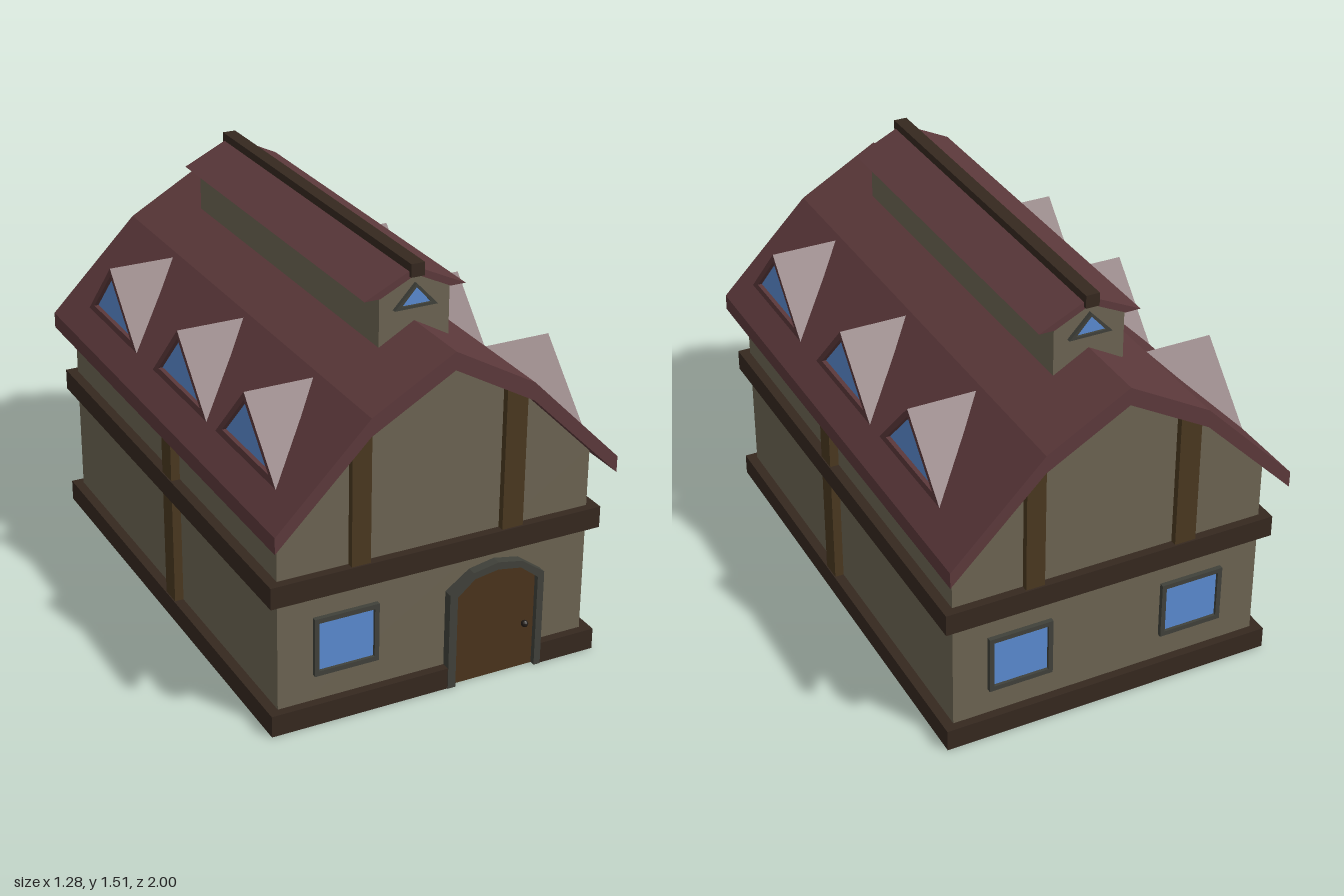
import * as THREE from 'three';

const mat = (color) => new THREE.MeshStandardMaterial({ color, flatShading: true, side: THREE.DoubleSide });

export function createModel() {
  const house = new THREE.Group();
  house.name = 'house';
  const wall = mat(0x6c6452), roof = mat(0x5c393b), beam = mat(0x35281f), post = mat(0x4a3820);
  const doorWood = mat(0x4a331c), stone = mat(0x40413a), glass = mat(0x5a8ad0), iron = mat(0x221c18);

  const add = (name, geometry, material, parent = house) => {
    const mesh = new THREE.Mesh(geometry, material);
    mesh.name = name;
    parent.add(mesh);
    return mesh;
  };
  // Box given by its minimum and maximum on each axis
  const box = (name, x0, x1, y0, y1, z0, z1, material, parent) => {
    const mesh = add(name, new THREE.BoxGeometry(x1 - x0, y1 - y0, z1 - z0), material, parent);
    mesh.position.set((x0 + x1) / 2, (y0 + y1) / 2, (z0 + z1) / 2);
    return mesh;
  };
  // Polygon in the xy plane, optionally with a hole, extruded from z0 to z1
  const prism = (name, points, z0, z1, material, parent, hole) => {
    const toVectors = (list) => list.map(([x, y]) => new THREE.Vector2(x, y));
    const shape = new THREE.Shape(toVectors(points));
    if (hole) shape.holes.push(new THREE.Path(toVectors(hole)));
    const geometry = new THREE.ExtrudeGeometry(shape, { depth: z1 - z0, bevelEnabled: false });
    geometry.translate(0, 0, z0);
    return add(name, geometry, material, parent);
  };
  const rect = (x0, x1, y0, y1) => [[x0, y0], [x1, y0], [x1, y1], [x0, y1]];
  const triangle = (half, y0, y1) => [[-half, y0], [half, y0], [0, y1]];
  const group = (name) => {
    const g = new THREE.Group();
    g.name = name;
    house.add(g);
    return g;
  };

  // Barn-shaped body and the gambrel roof over it
  prism('walls', [[-0.59, 0.01], [0.59, 0.01], [0.59, 0.79], [0.3, 1.08], [0, 1.25], [-0.3, 1.08], [-0.59, 0.79]],
    -0.905, 0.905, wall);
  prism('roof', [[-0.64, 0.79], [-0.3, 1.135], [0, 1.305], [0.3, 1.135], [0.64, 0.79],
    [0.64, 0.73], [0.3, 1.07], [0, 1.24], [-0.3, 1.07], [-0.64, 0.73]], -1, 1, roof);

  // Horizontal timber bands; the lower one is interrupted by the door
  for (const [name, y0, y1] of [['baseBeam', 0, 0.08], ['middleBeam', 0.49, 0.57]]) {
    for (const s of [-1, 1]) {
      const x = s * 0.6075;
      box(name + 'Side', x - 0.0195, x + 0.0195, y0, y1, -0.937, 0.937, beam);
    }
    box(name + 'Back', -0.59, 0.59, y0, y1, -0.937, -0.895, beam);
    const spans = y0 === 0 ? [[-0.59, 0.05], [0.4, 0.59]] : [[-0.59, 0.59]];
    for (const [x0, x1] of spans) box(name + 'Front', x0, x1, y0, y1, 0.895, 0.937, beam);
  }

  // Upright posts on the gables (tops follow the roof) and on the long sides
  const under = (x) => Math.abs(x) < 0.3 ? 1.245 - Math.abs(x) * 0.567 : 1.375 - Math.abs(x);
  for (const s of [-1, 1]) {
    for (const [x0, x1, kink] of [[-0.33, -0.26, -0.3], [0.24, 0.32, 0.3]]) {
      const p = prism('gablePost', [[x0, 0.53], [x1, 0.53], [x1, under(x1)], [kink, under(kink)], [x0, under(x0)]],
        0.895, 0.93, post);
      if (s < 0) p.rotation.y = Math.PI;
    }
    box('sidePost', s * 0.605 - 0.018, s * 0.605 + 0.018, 0.04, 0.765, 0.03, 0.11, post);
  }

  // Square windows: one in front, two behind
  const addWindow = (name, x0, back) => {
    const g = group(name);
    prism('windowFrame', rect(x0, x0 + 0.24, 0.18, 0.4), 0.895, 0.922, stone, g,
      rect(x0 + 0.017, x0 + 0.223, 0.198, 0.382));
    box('windowGlass', x0 + 0.01, x0 + 0.23, 0.19, 0.39, 0.895, 0.911, glass, g);
    if (back) g.rotation.y = Math.PI;
  };
  addWindow('frontWindow', -0.46, false);
  addWindow('backWindow', -0.46, true);
  addWindow('backWindow', 0.205, true);

  // Arched door with a stone surround and a knob
  const door = group('door');
  const inner = [[0.07, 0], [0.07, 0.355], [0.135, 0.41], [0.225, 0.425], [0.315, 0.41], [0.385, 0.355], [0.385, 0]];
  const outer = [[0.41, 0], [0.41, 0.37], [0.32, 0.435], [0.225, 0.453], [0.13, 0.435], [0.04, 0.37], [0.04, 0]];
  prism('doorSurround', [...inner, ...outer], 0.895, 0.94, stone, door);
  prism('doorPanel', inner, 0.895, 0.92, doorWood, door);
  const knob = add('doorKnob', new THREE.SphereGeometry(0.013, 10, 8), iron, door);
  knob.position.set(0.345, 0.175, 0.932);

  // Long raised ridge lantern with its own roof and end windows
  const lantern = group('ridgeLantern');
  prism('lanternWalls', [[-0.13, 1.12], [0.13, 1.12], [0.13, 1.41], [0, 1.475], [-0.13, 1.41]], -0.72, 0.72, wall, lantern);
  prism('lanternRoof', [[-0.187, 1.405], [0, 1.495], [0.187, 1.405], [0.13, 1.405], [0, 1.468], [-0.13, 1.405]],
    -0.727, 0.727, roof, lantern);
  box('ridgeBeam', -0.025, 0.025, 1.465, 1.512, -0.74, 0.74, beam, lantern);
  for (const s of [-1, 1]) {
    const w = new THREE.Group();
    w.name = 'lanternWindow';
    prism('lanternWindowFrame', triangle(0.08, 1.355, 1.44), 0.715, 0.735, stone, w, triangle(0.055, 1.365, 1.427));
    prism('lanternWindowGlass', triangle(0.06, 1.362, 1.43), 0.715, 0.727, glass, w);
    if (s < 0) w.rotation.y = Math.PI;
    lantern.add(w);
  }

  // Triangular dormers, built facing +z and turned to each side
  const sides = new THREE.BufferGeometry();
  const L = [-0.237, 0.875, 0.565], R = [0.237, 0.875, 0.565], T = [0, 1.12, 0.565], B = [0, 1.12, 0.31];
  sides.setAttribute('position', new THREE.Float32BufferAttribute([L, T, B, T, R, B, R, L, B].flat(), 3));
  sides.computeVertexNormals();
  for (const [s, centres] of [[1, [0.65, 0.025, -0.53]], [-1, [0.615, 0.065, -0.565]]]) {
    for (const z of centres) {
      const dormer = group('dormer');
      add('dormerRoof', sides, roof, dormer);
      prism('dormerFrame', triangle(0.237, 0.875, 1.12), 0.564, 0.566, roof, dormer, triangle(0.182, 0.903, 1.09));
      // Reveal around the recessed pane
      prism('dormerReveal', triangle(0.19, 0.9, 1.095), 0.545, 0.564, roof, dormer, triangle(0.182, 0.903, 1.09));
      prism('dormerGlass', triangle(0.182, 0.903, 1.09), 0.54, 0.55, glass, dormer);
      dormer.rotation.y = s * Math.PI / 2;
      dormer.position.z = z;
    }
  }
  return house;
}
